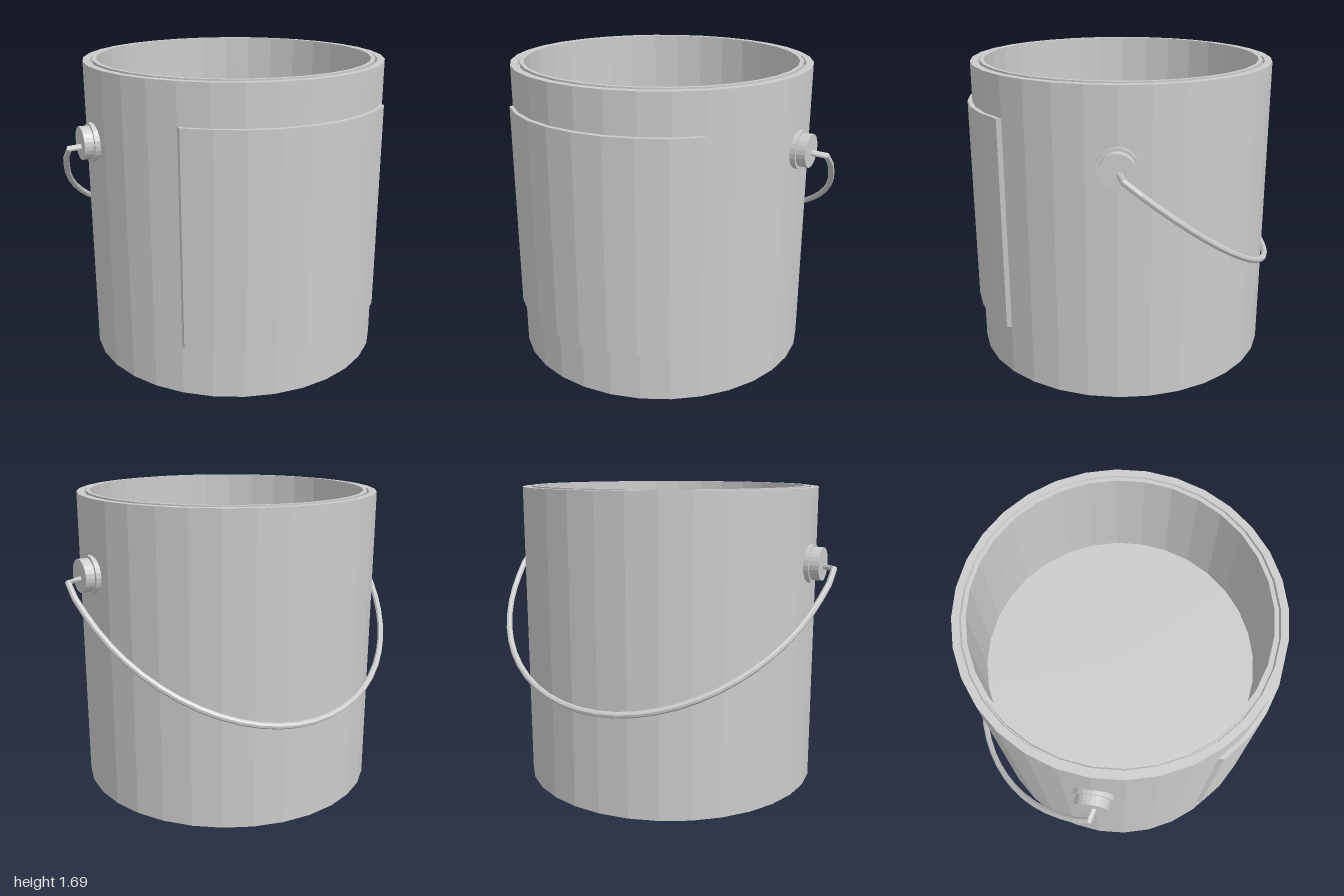
import * as THREE from 'three';

const SIDES = 32, R = 0.842, CX = -0.007;
const material = new THREE.MeshStandardMaterial({ color: 0xcccccc, flatShading: true });

function part(name, geometry) {
  const mesh = new THREE.Mesh(geometry, material);
  mesh.name = name;
  return mesh;
}

// Closed lathe profile: base, outer wall, grooved rim, inner wall, contents surface
function canGeometry() {
  const profile = [
    [0, 0], [R, 0], [R, 1.68], [0.802, 1.68], [0.797, 1.655], [0.79, 1.655],
    [0.79, 1.686], [0.768, 1.686], [0.768, 1.02], [0, 1.02],
  ].map(([r, y]) => new THREE.Vector2(r, y));
  return new THREE.LatheGeometry(profile, SIDES);
}

// Quarter-turn panel pushed forward from the wall
function labelGeometry(bottom, top, depth) {
  const arc = [];
  for (let i = -4; i <= 4; i++) {
    const a = (i / SIDES) * Math.PI * 2;
    arc.push([R * Math.sin(a), R * Math.cos(a)]);
  }
  const outline = [
    ...arc.map(([x, z]) => new THREE.Vector2(x, -z)),
    ...arc.reverse().map(([x, z]) => new THREE.Vector2(x, -z - depth)),
  ];
  const geometry = new THREE.ExtrudeGeometry(new THREE.Shape(outline), {
    depth: top - bottom, bevelEnabled: false,
  });
  return geometry.rotateX(-Math.PI / 2).translate(0, bottom, 0);
}

// Wire bail: half ellipse hanging down behind the can, ends bent into the ears
function handleGeometry() {
  const points = [];
  const add = (x, y, z) => points.push(new THREE.Vector3(x, y, z - 0.016 * x));
  const steps = 14;
  add(0.89, 1.265, 0.01);
  add(0.95, 1.275, 0.02);
  add(0.98, 1.255, -0.01);
  for (let i = 1; i < steps; i++) {
    const a = (i / steps) * Math.PI;
    const z = -0.855 * Math.sin(a);
    add(0.98 * Math.cos(a), 1.263 + 0.826 * z, z);
  }
  add(-0.98, 1.255, -0.01);
  add(-0.95, 1.275, 0.02);
  add(-0.89, 1.265, 0.01);
  return new THREE.TubeGeometry(new THREE.CatmullRomCurve3(points), 32, 0.017, 8);
}

// Stepped disc that anchors the handle on one side
function ear(side) {
  const group = new THREE.Group();
  group.name = side > 0 ? 'leftEar' : 'rightEar';
  for (const [name, radius, from, to] of [
    ['earBase', 0.105, 0.80, 0.861],
    ['earCap', 0.09, 0.85, 0.912],
  ]) {
    const disc = part(name, new THREE.CylinderGeometry(radius, radius, to - from, 24));
    disc.rotation.z = Math.PI / 2;
    disc.position.set(side * (from + to) / 2, 1.278, 0.005);
    group.add(disc);
  }
  return group;
}

export function createModel() {
  const model = new THREE.Group();
  model.name = 'paintCan';
  const body = new THREE.Group();
  body.name = 'body';
  body.position.x = CX;
  body.add(
    part('can', canGeometry()),
    part('label', labelGeometry(0.28, 1.46, 0.027)),
    ear(1),
    ear(-1),
  );
  model.add(body, part('handle', handleGeometry()));
  return model;
}
